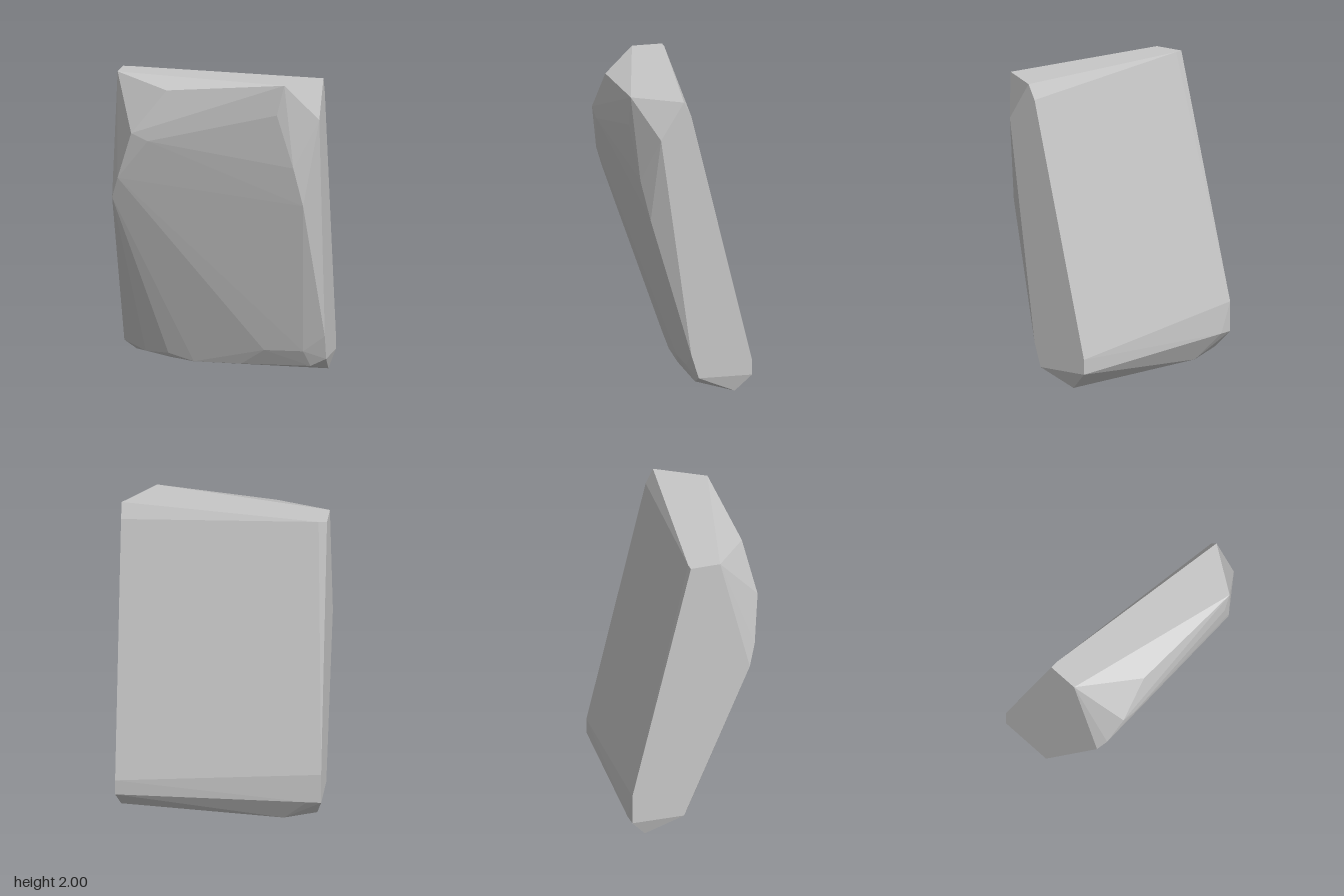
import * as THREE from 'three';
import { ConvexGeometry } from 'three/addons/geometries/ConvexGeometry.js';

// Corners of the leaning slab, grouped by region: [x, y, z]
const topRim = [
  [-0.685, 2, -0.053], [-0.63, 2, -0.053], [0.685, 2, 0.15], [0.685, 1.9, 0.1],
  [0.48, 2, 0.458], [-0.685, 2, 0.15], [-0.31, 1.937, 0.427],
];
const frontBulge = [
  [0.43, 1.8, 0.458], [-0.54, 1.65, 0.458], [-0.43, 1.6, 0.458],
  [0.685, 1.75, 0.305], [0.53, 1.44, 0.405], [0.585, 1.18, 0.35],
  [-0.64, 1.34, 0.404], [-0.685, 1.2, 0.355],
];
// The front foot curves back towards its -x corner
const frontFoot = [
  [-0.685, 0.165, -0.1], [-0.53, 0.11, -0.03], [-0.37, 0.11, 0.02],
  [-0.2, 0.06, 0.025], [0.12, 0.06, 0.047], [0.58, 0.06, 0.05],
  [0.28, 0.165, 0.1], [0.54, 0.165, 0.1], [0.685, 0.27, 0.1], [0.685, 0.11, 0.05],
];
const backFoot = [
  [0.655, 0, -0.2], [-0.43, 0.012, -0.36], [-0.65, 0.06, -0.36],
  [-0.685, 0.17, -0.458], [-0.685, 0.37, -0.458], [-0.59, 0.17, -0.458],
  [0.685, 0.21, -0.31], [0.685, 0.11, -0.31],
];

export function createModel() {
  const group = new THREE.Group();
  group.name = 'rock';

  const stone = new THREE.MeshStandardMaterial({ color: 0xc7c7c7 });
  stone.name = 'stone grey';

  // Faceted convex boulder; the hull has flat normals per face
  const corners = [...topRim, ...frontBulge, ...frontFoot, ...backFoot]
    .map((p) => new THREE.Vector3(...p));
  const slab = new THREE.Mesh(new ConvexGeometry(corners), stone);
  slab.name = 'rockSlab';
  group.add(slab);

  return group;
}
